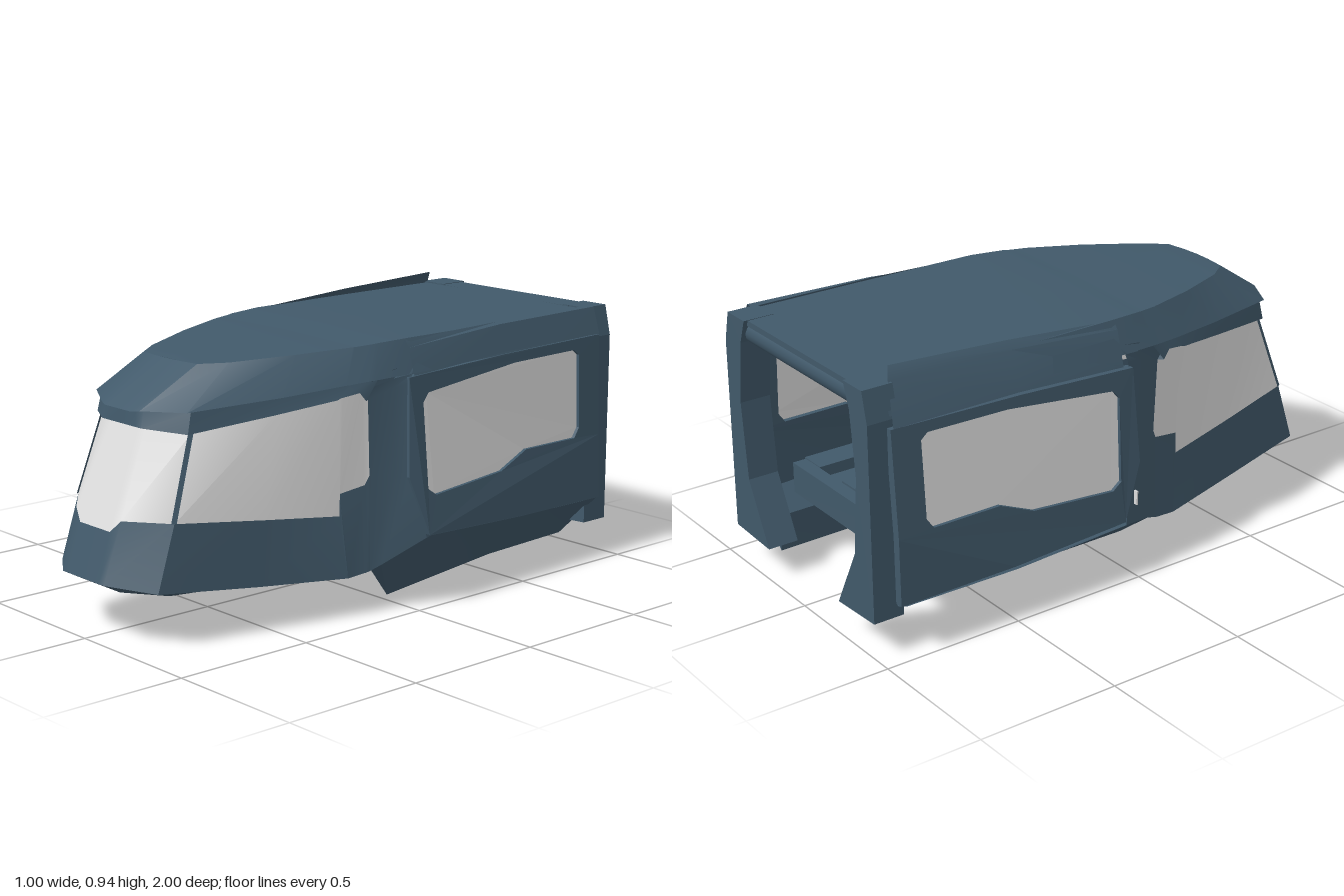
import * as THREE from 'three';
import { toCreasedNormals } from 'three/addons/utils/BufferGeometryUtils.js';

const body = new THREE.MeshStandardMaterial({ color: 0x41596a, side: THREE.DoubleSide });
body.name = 'slate blue paint';
const glass = new THREE.MeshStandardMaterial({ color: 0xdedede, side: THREE.DoubleSide });
glass.name = 'pale glass';

// surface through rows of [x, y, z] points
function loft(rows, crease = 0.5) {
  const n = rows[0].length, index = [];
  for (let r = 0; r < rows.length - 1; r++) {
    for (let i = 0; i < n - 1; i++) {
      const a = r * n + i, b = a + 1, c = a + n, d = c + 1;
      index.push(a, b, d, a, d, c);
    }
  }
  const g = new THREE.BufferGeometry();
  g.setAttribute('position', new THREE.Float32BufferAttribute(rows.flat(2), 3));
  g.setIndex(index);
  g.computeVertexNormals();
  return toCreasedNormals(g, crease);
}
const flip = ([x, y, z]) => [-x, y, z];
const full = (row) => [...row.slice(1).reverse().map(flip), ...row];
const toShape = (pts) => new THREE.Shape(pts.map(([x, y]) => new THREE.Vector2(x, y)));
const lerp = THREE.MathUtils.lerp;

export function createModel() {
  const model = new THREE.Group();
  const add = (name, geo, mat = body, parent = model) => {
    const m = new THREE.Mesh(geo, mat);
    m.name = name;
    parent.add(m);
    return m;
  };
  const box = (name, w, h, d, x, y, z, mat = body) =>
    add(name, new THREE.BoxGeometry(w, h, d), mat).position.set(x, y, z);

  // nose contours, from the centre line round to the side pillar
  const base = [[0, .2, 1], [.08, .2, 1], [.11, .2, 1], [.26, .185, .9], [.33, .155, .55],
    [.4, .135, .23], [.4, .135, .225], [.408, .142, .155], [.41, .145, .14]];
  const belt = [[0, .36, .95], [.08, .36, .95], [.12, .4, .935], [.257, .4, .83], [.325, .37, .52],
    [.38, .345, .25], [.38, .42, .249], [.392, .435, .15], [.398, .465, .135]];
  const head = [[0, .68, .82], [.07, .68, .82], [.1, .68, .82], [.232, .67, .74], [.315, .705, .46],
    [.38, .735, .25], [.382, .74, .24], [.396, .75, .17], [.4, .72, .145]];
  const visor = [[0, .73, .85], [.07, .73, .85], [.1, .735, .84], [.24, .74, .76], [.335, .76, .45],
    [.4, .78, .24], [.402, .78, .23], [.415, .784, .16], [.42, .785, .13]];
  const shoulder = [[0, .865, .65], [.06, .865, .65], [.14, .865, .64], [.2, .868, .56],
    [.29, .88, .36], [.355, .89, .17], [.357, .89, .165], [.37, .893, .1], [.375, .895, .08]];
  const lip = base.map(([x, y, z]) => [x * .9, Math.min(y, .162), z * .93]);
  const headOuter = head.map(([x, y, z]) => [x * 1.03, y, z + .018]);
  const visorInner = visor.map(([x, y, z]) => [x * .98, y, z - .018]);
  add('noseBand', loft([full(base), full(belt)], .7));
  add('noseUnderside', loft([full(base), full(lip)]));
  add('windscreen', loft([full(belt), full(head)], .68), glass);
  add('windscreenHeader', loft([full(head), full(headOuter), full(visorInner), full(visor)]));

  // roof: visor slope, side bands and gently crowned top
  const visorLong = [...visor, [.435, .79, -.05], [.435, .8, -.5], [.43, .81, -.92]];
  const shoulderLong = [...shoulder, [.39, .9, -.05], [.395, .9, -.5], [.395, .9, -.92]];
  add('roofBand', loft([full(visorLong), full(shoulderLong)]));
  add('roofTop', loft([shoulderLong, shoulderLong.map(([x, y, z]) => [0, y + .006 * Math.min(1, x * 4), z]),
    shoulderLong.map(flip)]));
  box('ceilingPanel', .5, .02, .5, 0, .88, -.45);
  box('ceilingHatch', .22, .015, .22, 0, .865, -.45);

  // windscreen corner strips
  for (const s of [-1, 1]) {
    add('windscreenPillar', loft([
      [[s * .253, .4, .84], [s * .261, .4, .824]],
      [[s * .229, .67, .75], [s * .236, .67, .734]]]));
  }

  // side door outlines in (z, y)
  const outline = [[0, .78], [-.45, .8], [-.93, .81], [-.93, .45], [-.93, .22], [-.5, .23], [-.05, .25], [.015, .45]];
  const pane = [[-.085, .72], [-.5, .765], [-.8, .77], [-.825, .75], [-.825, .49], [-.8, .455],
    [-.55, .455], [-.42, .4], [-.1, .375], [-.065, .4], [-.06, .69]];

  for (const s of [-1, 1]) {
    const side = new THREE.Group();
    side.name = s > 0 ? 'leftSide' : 'rightSide';
    side.scale.x = s;
    model.add(side);
    const drop = s > 0 ? 0 : -.035;

    // outward bulge of the door at a given z, y
    const bulge = (z, y) => {
      const t = THREE.MathUtils.clamp((-.05 - z) / .86, 0, 1);
      const low = s > 0 ? lerp(.5, .462, t) : .49 + .03 * t * (1 - t) - .01 * t;
      const mid = s > 0 ? lerp(.462, .452, t) : .477;
      const top = s > 0 ? .44 : .45;
      return y < .45 ? lerp(low, mid, (y - .22) / .23) : lerp(mid, top, (y - .45) / .35);
    };
    const bend = (geo, inset) => {
      const p = geo.attributes.position;
      for (let i = 0; i < p.count; i++) {
        const z = p.getX(i), y = p.getY(i), d = p.getZ(i);
        p.setXYZ(i, bulge(z, y) - d - inset, y + drop, z);
      }
      const g = geo.index ? geo.toNonIndexed() : geo;
      g.computeVertexNormals();
      return g;
    };
    const doorShape = toShape(outline);
    doorShape.holes.push(toShape(pane));
    add('sideDoor', bend(new THREE.ExtrudeGeometry(doorShape, { depth: .03, bevelEnabled: false }), 0), body, side);
    add('sideDoorWindow', bend(new THREE.ShapeGeometry(toShape(pane)), .012), glass, side);

    // pillar between nose and door, sweeping out to the door edge
    add('sidePillar', loft([
      [[.41, .145, .14], [.42, .16, .1], [.485, s > 0 ? .24 : .2, -.045]],
      [[.398, .465, .135], [.425, .465, .05], [.458, .465, 0]],
      [[.4, .72, .145], [.42, .75, .05], [.438, .76, -.01]],
      [[.396, .75, .17], [.418, .78, .05], [.435, .79, -.02]],
      [[.413, .79, .13], [.418, .81, .05], [.42, .82, -.04]]]), body, side);

    // lower skirt, hanging deeper on the left
    const crease = s > 0
      ? [[.42, .16, .1], [.5, .25, -.05], [.482, .23, -.5], [.462, .22, -.915]]
      : [[.42, .16, .1], [.498, .21, -.05], [.5, .19, -.5], [.485, .185, -.915]];
    const hem = s > 0
      ? [[.36, .14, .1], [.3, 0, -.04], [.305, .05, -.53], [.29, .055, -.915]]
      : [[.36, .14, .1], [.45, .165, -.04], [.45, .165, -.53], [.44, .165, -.915]];
    const inner = [[.33, .17, .1], [.28, .17, -.06], [.285, .19, -.53], [.28, .19, -.915]];
    add('doorSkirt', loft([crease, hem, inner]), body, side);

    // trim along the top edge of the door
    add('doorTopTrim', loft(s > 0
      ? [[[.435, .78, -.03], [.445, .81, -.45], [.45, .815, -.92]],
        [[.405, .87, -.03], [.415, .9, -.45], [.42, .908, -.92]],
        [[.39, .895, -.03], [.395, .905, -.45], [.39, .908, -.92]]]
      : [[[.44, .75, -.03], [.45, .775, -.45], [.45, .775, -.92]],
        [[.405, .87, -.03], [.4, .9, -.45], [.395, .91, -.9]],
        [[.385, .895, -.03], [.375, .925, -.45], [.365, .945, -.88]]]), body, side);

    // rear post with a splayed foot
    const post = toShape([[.43, .125], [.43, .8], [.405, .905], [.3, .905], [.33, .82], [.355, .6], [.33, .33], [.22, .115]]);
    add('rearPost', new THREE.ExtrudeGeometry(post, { depth: .11, bevelEnabled: false }), body, side)
      .position.z = -1;
  }

  // sliver of glass showing in the right door gap
  box('doorGapGlass', .014, .05, .006, -.474, .285, .004, glass);

  // rear beam over the opening
  box('rearBeam', .66, .02, .1, 0, .893, -.935);
  const roll = add('rearBeamRoll', new THREE.CylinderGeometry(.048, .048, .66, 16));
  roll.rotation.z = Math.PI / 2;
  roll.position.set(0, .855, -.938);

  // raised floor pan with panels above and ribs below
  const plan = toShape([[-.36, .8], [.36, .8], [.36, -.2], [.22, -.88], [-.22, -.88], [-.36, -.2]]);
  const floor = add('floorPan', new THREE.ExtrudeGeometry(plan, { depth: .03, bevelEnabled: false }));
  floor.rotation.x = -Math.PI / 2;
  floor.position.y = .25;
  box('rearSill', .68, .11, .05, 0, .285, -.8);
  for (const z of [-.55, -.15, .25]) {
    box('floorPanel', .4, .02, .34, 0, .285, z);
    box('floorRib', .6, .07, .06, 0, .22, z - .2);
    for (const s of [-1, 1]) {
      box('floorRail', .06, .04, .2, s * .2, .235, z);
      if (z < 0) box('sideLedge', .1, .06, .36, s * .34, .29, z - .02);
    }
  }
  return model;
}
